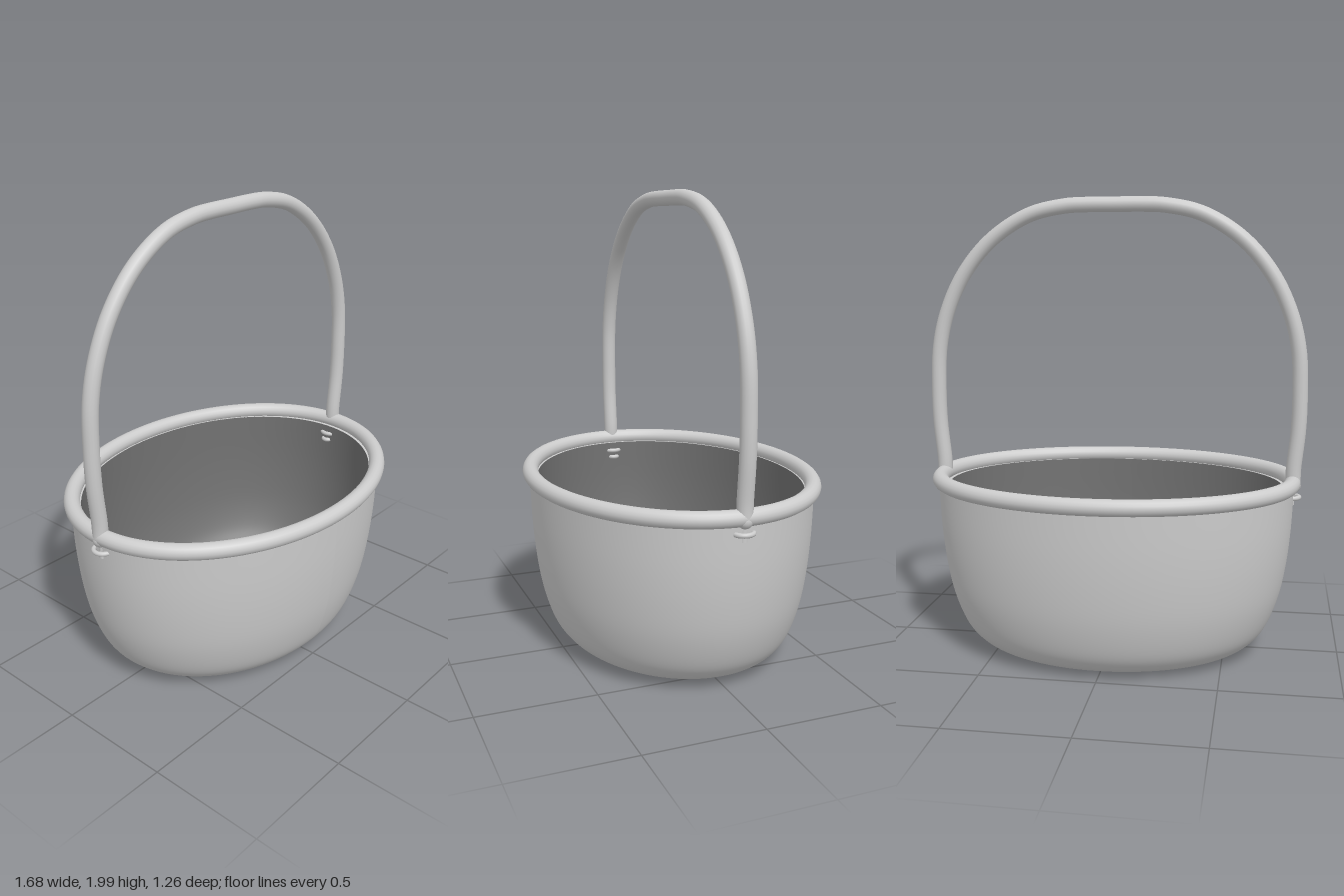
import * as THREE from 'three';

const DEPTH = 0.757; // depth-to-width ratio of the oval basket

function material(name, color) {
  const m = new THREE.MeshStandardMaterial({ color, side: THREE.DoubleSide });
  m.name = name;
  return m;
}

// Oval shell turned from a smooth profile of [radius, height] points
function ovalShell(points) {
  const curve = new THREE.SplineCurve(points.map(([x, y]) => new THREE.Vector2(x, y)));
  const shell = new THREE.LatheGeometry(curve.getPoints(45), 96);
  shell.scale(1, 1, DEPTH);
  shell.computeVertexNormals();
  return shell;
}

export function createModel() {
  const model = new THREE.Group();
  model.name = 'basket';

  const grey = material('light grey', 0xcccccc);
  const darkGrey = material('dark grey lining', 0x707070);

  function add(name, geometry, mat = grey, parent = model) {
    const mesh = new THREE.Mesh(geometry, mat);
    mesh.name = name;
    parent.add(mesh);
    return mesh;
  }

  // Outer bowl with a rounded bottom edge
  add('bowl', ovalShell([
    [0, 0.006], [0.3, 0.008], [0.48, 0.014], [0.575, 0.03], [0.642, 0.072], [0.692, 0.14],
    [0.738, 0.26], [0.767, 0.4], [0.785, 0.56], [0.794, 0.75],
  ]));

  // Darker lining inside the bowl
  add('lining', ovalShell([
    [0, 0.04], [0.3, 0.041], [0.45, 0.046], [0.54, 0.062], [0.603, 0.1], [0.651, 0.164],
    [0.695, 0.276], [0.722, 0.41], [0.738, 0.56], [0.746, 0.745],
  ]), darkGrey);

  // Flat lip joining the lining to the bowl under the rim
  const lip = new THREE.RingGeometry(0.746, 0.794, 96);
  lip.rotateX(-Math.PI / 2);
  lip.scale(1, 1, DEPTH);
  add('lip', lip).position.y = 0.746;

  // Rolled rim following the oval opening
  const rimPoints = [];
  for (let i = 0; i < 48; i++) {
    const a = (i / 48) * Math.PI * 2;
    rimPoints.push(new THREE.Vector3(Math.cos(a) * 0.787, 0.768, -Math.sin(a) * 0.597));
  }
  const rimPath = new THREE.CatmullRomCurve3(rimPoints, true);
  add('rim', new THREE.TubeGeometry(rimPath, 128, 0.035, 16, true));

  // Arched handle, mirrored from one half
  const half = [
    [0.789, 0.757], [0.789, 0.82], [0.806, 1.0], [0.809, 1.15], [0.8, 1.34], [0.762, 1.5],
    [0.68, 1.67], [0.55, 1.82], [0.38, 1.925], [0.22, 1.962], [0.12, 1.967],
  ];
  const arch = [...half, [0, 1.967], ...half.map(([x, y]) => [-x, y]).reverse()];
  const handlePath = new THREE.CatmullRomCurve3(arch.map(([x, y]) => new THREE.Vector3(x, y, 0)));
  add('handle', new THREE.TubeGeometry(handlePath, 120, 0.033, 16));

  // Rounded handle ends, with a ringed pin below each one
  const flatRing = (radius) => new THREE.TorusGeometry(radius, 0.01, 10, 32).rotateX(Math.PI / 2);
  for (const side of [1, -1]) {
    const fixing = new THREE.Group();
    fixing.name = side > 0 ? 'leftFixing' : 'rightFixing';
    model.add(fixing);

    add('handleEnd', new THREE.SphereGeometry(0.033, 20, 12), grey, fixing)
      .position.set(side * 0.79, 0.757, 0);
    add('pin', new THREE.CylinderGeometry(0.017, 0.017, 0.09, 16), grey, fixing)
      .position.set(side * 0.779, 0.715, 0);
    add('ring', flatRing(0.04), grey, fixing).position.set(side * 0.777, 0.705, 0);
    add('innerRing', flatRing(0.02), grey, fixing).position.set(side * 0.755, 0.672, 0);
  }

  return model;
}
